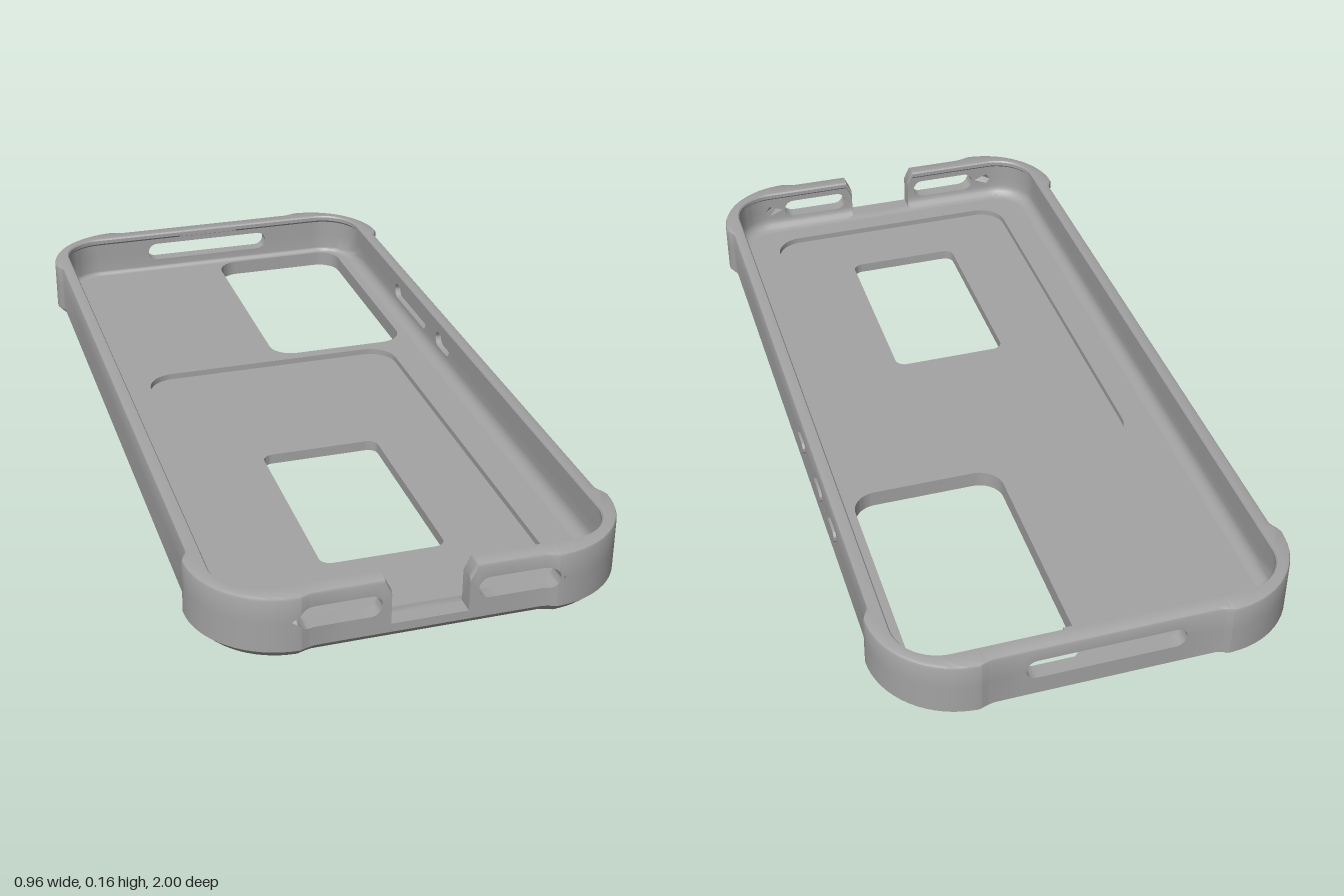
import * as THREE from 'three';
import { toCreasedNormals } from 'three/addons/utils/BufferGeometryUtils.js';

const FLOOR = 0.04, RECESS = 0.025, TOP = 0.155, MID = 0.095;
const clamp01 = (t) => Math.min(1, Math.max(0, t));

// Half height of a capsule-shaped opening from a to b at position u (0 outside it)
function capsule(u, a, b, r) {
  if (u <= a || u >= b) return 0;
  const d = Math.max(0, a + r - u, u - (b - r));
  return Math.sqrt(Math.max(0, r * r - d * d));
}

// Sample positions that follow the round ends of a capsule
function capsuleSamples(a, b, r) {
  const out = [];
  for (let k = 0; k <= 6; k++) {
    const c = r * Math.cos((k * Math.PI) / 12);
    out.push(a + r - c, b - r + c);
  }
  return out;
}

const unique = (list) => [...list].sort((a, b) => a - b).filter((v, i, l) => i === 0 || v - l[i - 1] > 1e-5);
const FRONT_SLOT = [0.105, 0.285, 0.025], BACK_SLOT = [-0.18, 0.18, 0.025];
const POCKETS = [[-0.5, -0.25, 0.02], [-0.17, -0.07, 0.02]];

// One quarter of the outline: outer point o, inner point i, outward direction n
function quarter() {
  const q = [];
  const xs = unique([0, 0.0849, 0.0851, 0.1, 0.25, 0.27, 0.29,
    ...capsuleSamples(...FRONT_SLOT), ...capsuleSamples(...BACK_SLOT).filter((x) => x > 0)]);
  for (const x of xs) {
    const t = THREE.MathUtils.smoothstep(x, 0.245, 0.29);
    q.push({ o: [x, 0.99 + 0.01 * t], i: [x, 0.955], n: [0, 1] });
  }
  for (let k = 0; k <= 16; k++) {
    const a = (k / 16) * Math.PI / 2, s = Math.sin(a), c = Math.cos(a);
    q.push({ o: [0.28 + 0.2 * s, 0.8 + 0.2 * c], i: [0.33 + 0.11 * s, 0.845 + 0.11 * c], n: [s, c] });
  }
  const zs = unique([0, 0.765, 0.775, 0.785, ...POCKETS.flatMap(([a, b, r]) => capsuleSamples(-b, -a, r))]).reverse();
  for (const z of zs) {
    const t = THREE.MathUtils.smoothstep(z, 0.765, 0.8);
    q.push({ o: [0.465 + 0.015 * t, z], i: [0.44, z], n: [1, 0] });
  }
  return q;
}

// The full outline with the openings and the port notch added to each column
function outline() {
  const q = quarter(), r = [...q].reverse();
  const flip = (list, sx, sz) => list.map(({ o, i, n }) => ({
    o: [o[0] * sx, o[1] * sz], i: [i[0] * sx, i[1] * sz], n: [n[0] * sx, n[1] * sz],
  }));
  const cols = [...flip(q, 1, 1), ...flip(r, 1, -1).slice(1), ...flip(q, -1, -1).slice(1), ...flip(r, -1, 1).slice(1, -1)];
  for (const c of cols) {
    const [x, z] = c.o, u = Math.abs(x);
    let half = 0;
    c.top = TOP;
    if (z > 0.98 && u < 0.3) {
      half = capsule(u, ...FRONT_SLOT);
      if (u < 0.085) c.top = 0.045;
      else if (u < 0.1) c.top = 0.125 + 2 * (u - 0.085);
    } else if (z < -0.98) half = capsule(x, ...BACK_SLOT);
    else if (c.n[0] === 1) for (const p of POCKETS) half = Math.max(half, capsule(z, ...p));
    c.lo = Math.min(c.top, MID - half);
    c.hi = Math.min(c.top, MID + half);
    c.fillet = 0.012 + 0.018 * clamp01((c.i[1] + 0.94) / 0.1);
  }
  return cols;
}

const at = (c, p, d, y) => [p[0] + c.n[0] * d, y, p[1] + c.n[1] * d];

// Cross-section below the openings: chamfer, outer wall, sill, inner wall, floor fillet
function lowerSection(c) {
  const pts = [at(c, c.o, -0.025, 0), at(c, c.o, 0, 0.025), at(c, c.o, 0, c.lo), at(c, c.i, 0, c.lo)];
  for (let k = 0; k <= 5; k++) {
    const a = (k / 5) * Math.PI / 2;
    const y = FLOOR + c.fillet * (1 - Math.sin(a));
    pts.push(at(c, c.i, -c.fillet * (1 - Math.cos(a)), Math.min(c.lo, y)));
  }
  return pts;
}

// Cross-section above the openings: inner wall, retaining lip, rim, outer wall
function upperSection(c) {
  const h = (y) => Math.max(c.hi, Math.min(y, c.top - (TOP - y)));
  return [at(c, c.o, 0, c.hi), at(c, c.i, 0, c.hi), at(c, c.i, 0, h(0.135)), at(c, c.i, -0.006, h(0.141)),
    at(c, c.i, -0.006, h(0.151)), at(c, c.i, -0.003, h(TOP)), at(c, c.o, -0.008, h(TOP)),
    at(c, c.o, -0.002, h(0.152)), at(c, c.o, 0, h(0.147)), at(c, c.o, 0, c.hi)];
}

// Sweep a section around the outline; the sill face is made only at openings
function sweep(cols, section, sill) {
  const pos = [], rows = cols.map(section);
  const A = new THREE.Vector3(), B = new THREE.Vector3(), C = new THREE.Vector3();
  const tri = (a, b, c) => {
    A.fromArray(a); B.fromArray(b).sub(A); C.fromArray(c).sub(A);
    if (B.cross(C).length() > 1e-10) pos.push(...a, ...b, ...c);
  };
  rows.forEach((p, j) => {
    const m = (j + 1) % rows.length, n = rows[m];
    const solid = cols[j].hi - cols[j].lo < 1e-6 && cols[m].hi - cols[m].lo < 1e-6;
    for (let k = 0; k < p.length - 1; k++) {
      if (k === sill && solid) continue;
      tri(p[k], n[k], n[k + 1]);
      tri(p[k], n[k + 1], p[k + 1]);
    }
  });
  const g = new THREE.BufferGeometry();
  g.setAttribute('position', new THREE.Float32BufferAttribute(pos, 3));
  return toCreasedNormals(g, 0.5);
}

function roundedRect(Type, x0, x1, y0, y1, r) {
  const s = new Type();
  s.absarc(x1 - r, y1 - r, r, 0, Math.PI / 2);
  s.absarc(x0 + r, y1 - r, r, Math.PI / 2, Math.PI);
  s.absarc(x0 + r, y0 + r, r, Math.PI, Math.PI * 1.5);
  s.absarc(x1 - r, y0 + r, r, Math.PI * 1.5, Math.PI * 2);
  s.closePath();
  return s;
}

// Horizontal plate between two heights; shape y is -z
function plate(points, holes, y0, y1) {
  const s = new THREE.Shape(points.map((p) => new THREE.Vector2(p[0], -p[2])));
  s.holes.push(...holes);
  const g = new THREE.ExtrudeGeometry(s, { depth: y1 - y0, bevelEnabled: false, curveSegments: 10 });
  return toCreasedNormals(g.rotateX(-Math.PI / 2).translate(0, y0, 0), 0.5);
}

export function createModel() {
  const group = new THREE.Group();
  const grey = new THREE.MeshStandardMaterial({ color: 0xa3a3a3, side: THREE.DoubleSide });
  grey.name = 'case grey';
  const add = (name, geometry) => {
    const mesh = new THREE.Mesh(geometry, grey);
    mesh.name = name;
    group.add(mesh);
    return mesh;
  };

  // Walls with speaker slots, port notch and button pockets
  const cols = outline();
  add('lowerWall', sweep(cols, lowerSection, 2));
  add('upperWall', sweep(cols, upperSection, 0));

  // Back panel in two layers: the upper one leaves a shallow recess
  const camera = () => roundedRect(THREE.Path, 0.025, 0.39, 0.285, 0.94, 0.06);
  const cardWindow = roundedRect(THREE.Path, -0.148, 0.142, -0.71, -0.21, 0.025);
  const recess = roundedRect(THREE.Path, -0.338, 0.333, -0.875, 0.255, 0.07);
  add('backPanel', plate(cols.map((c) => lowerSection(c)[0]), [camera(), cardWindow], 0, RECESS));
  add('innerFloor', plate(cols.map((c) => lowerSection(c).at(-1)), [camera(), recess], RECESS, FLOOR));

  // Thin skins behind the pockets and the raised buttons on the side
  const sidePart = (name, z0, z1, y0, y1, r, x0, x1) => {
    const s = roundedRect(THREE.Shape, -z1, -z0, y0, y1, r);
    const g = new THREE.ExtrudeGeometry(s, { depth: x1 - x0, bevelEnabled: false, curveSegments: 8 });
    add(name, toCreasedNormals(g.rotateY(Math.PI / 2).translate(x0, 0, 0), 0.5));
  };
  for (const [a, b] of POCKETS) sidePart('pocketSkin', a - 0.005, b + 0.005, 0.07, 0.12, 0.02, 0.455, 0.4648);
  for (const [a, b] of [[-0.15, -0.085], [-0.335, -0.265], [-0.48, -0.41]]) {
    sidePart('sideButton', a, b, 0.08, 0.11, 0.0145, 0.46, 0.471);
  }

  // Small retaining tab on the rear lip
  add('rearTab', new THREE.BoxGeometry(0.17, 0.012, 0.012)).position.set(0, 0.146, -0.95);
  return group;
}
